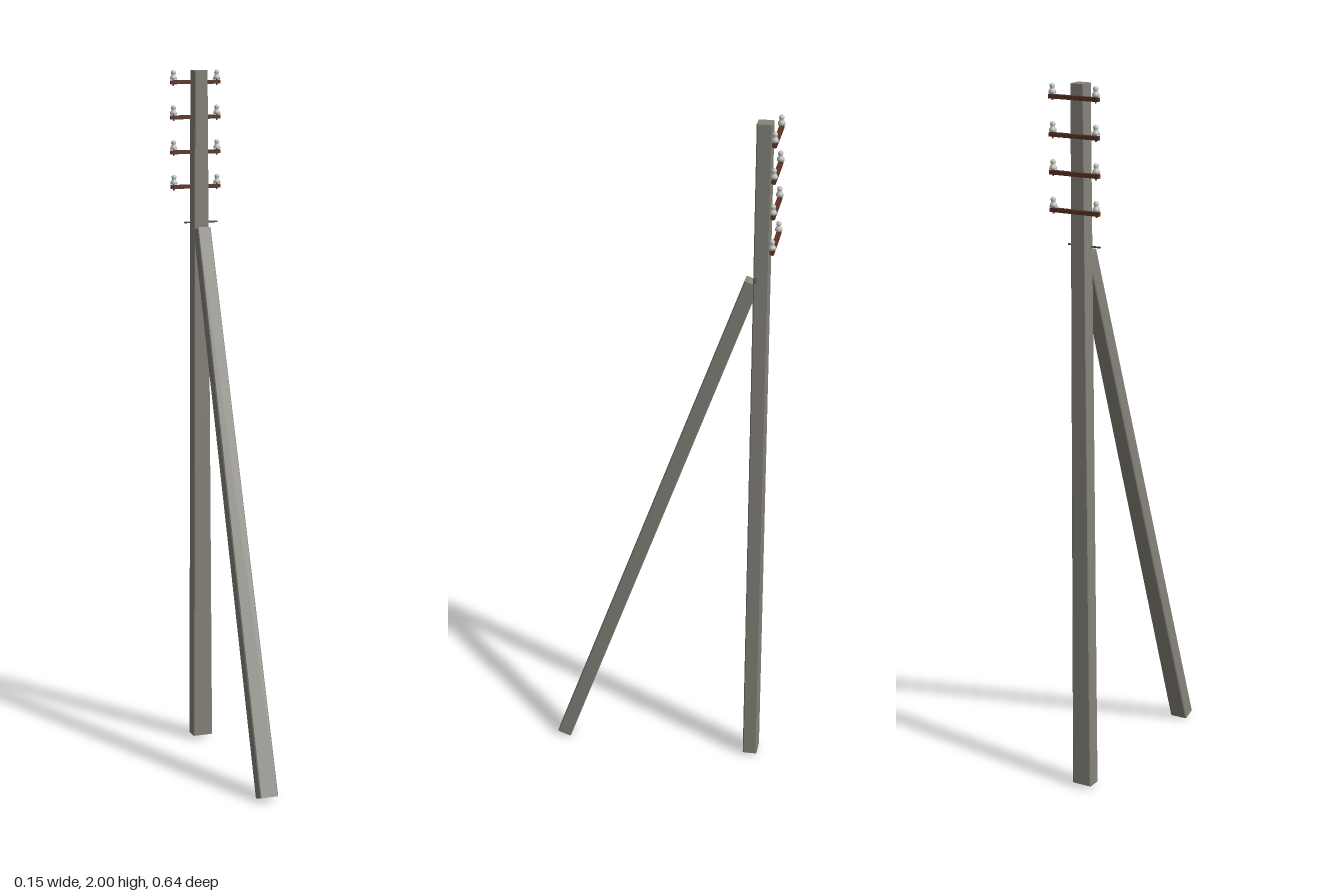
import * as THREE from 'three';

const mat = (name, color) => {
  const m = new THREE.MeshStandardMaterial({ color });
  m.name = name;
  return m;
};

// Square concrete beam with chamfered edges, tapering in x from base to tip
function taperedBeam(halfBase, halfTip, depth, length, chamfer) {
  const w = halfBase, d = depth / 2, c = chamfer;
  const shape = new THREE.Shape([
    [-w + c, -d], [w - c, -d], [w, -d + c], [w, d - c],
    [w - c, d], [-w + c, d], [-w, d - c], [-w, -d + c],
  ].map(([x, y]) => new THREE.Vector2(x, y)));
  const geo = new THREE.ExtrudeGeometry(shape, { depth: length, bevelEnabled: false, steps: 1 });
  geo.rotateX(-Math.PI / 2);
  const p = geo.attributes.position;
  for (let i = 0; i < p.count; i++) {
    const t = p.getY(i) / length;
    p.setX(i, p.getX(i) * THREE.MathUtils.lerp(1, halfTip / halfBase, t));
  }
  geo.computeVertexNormals();
  return geo;
}

export function createModel() {
  const model = new THREE.Group();
  model.name = 'utilityPole';
  const concrete = mat('concrete', 0x86837a);
  const wood = mat('brownArm', 0x5a3422);
  const steel = mat('darkSteel', 0x4a4a48);
  const ceramic = mat('paleCeramic', 0xc4c8c4);

  const add = (parent, name, geo, material, x, y, z) => {
    const mesh = new THREE.Mesh(geo, material);
    mesh.name = name;
    mesh.position.set(x, y, z);
    parent.add(mesh);
    return mesh;
  };

  // Upright pole and leaning brace
  const poleZ = -0.276;
  add(model, 'pole', taperedBeam(0.03, 0.02, 0.042, 1.99, 0.003), concrete, 0, 0.01, poleZ);
  const brace = add(model, 'brace', taperedBeam(0.027, 0.02, 0.042, 1.635, 0.003), concrete, 0, 0.007, 0.297);
  brace.rotation.x = -0.342;

  // Through bolt holding the brace to the pole
  const bolt = add(model, 'braceBolt', new THREE.CylinderGeometry(0.0025, 0.0025, 0.1, 8), steel, 0, 1.566, -0.263);
  bolt.rotation.z = Math.PI / 2;

  // Shared parts of the crossarms
  const armGeo = new THREE.BoxGeometry(0.15, 0.011, 0.012);
  const mountGeo = new THREE.CylinderGeometry(0.002, 0.002, 0.026, 8).rotateX(Math.PI / 2);
  const pinGeo = new THREE.CylinderGeometry(0.0025, 0.0025, 0.026, 8);
  const bellGeo = new THREE.LatheGeometry([
    [0, 0.003], [0.006, 0], [0.0105, 0], [0.0095, 0.007], [0.0065, 0.011],
    [0.0055, 0.015], [0.0075, 0.018], [0.007, 0.023], [0.004, 0.026], [0, 0.027],
  ].map(([x, y]) => new THREE.Vector2(x, y)), 14);

  // Four crossarms on the back of the pole, each with two insulators
  for (let i = 0; i < 4; i++) {
    const arm = new THREE.Group();
    arm.name = 'crossarm' + (i + 1);
    arm.position.set(0, 1.965 - i * 0.1, -0.31);
    model.add(arm);
    add(arm, 'armBar', armGeo, wood, 0, 0, 0);
    add(arm, 'armBolt', mountGeo, steel, 0, 0, 0.006);
    for (const side of [-1, 1]) {
      add(arm, 'insulatorPin', pinGeo, steel, side * 0.066, 0.003, 0);
      add(arm, 'insulator', bellGeo, ceramic, side * 0.066, 0.008, 0);
    }
  }
  return model;
}
